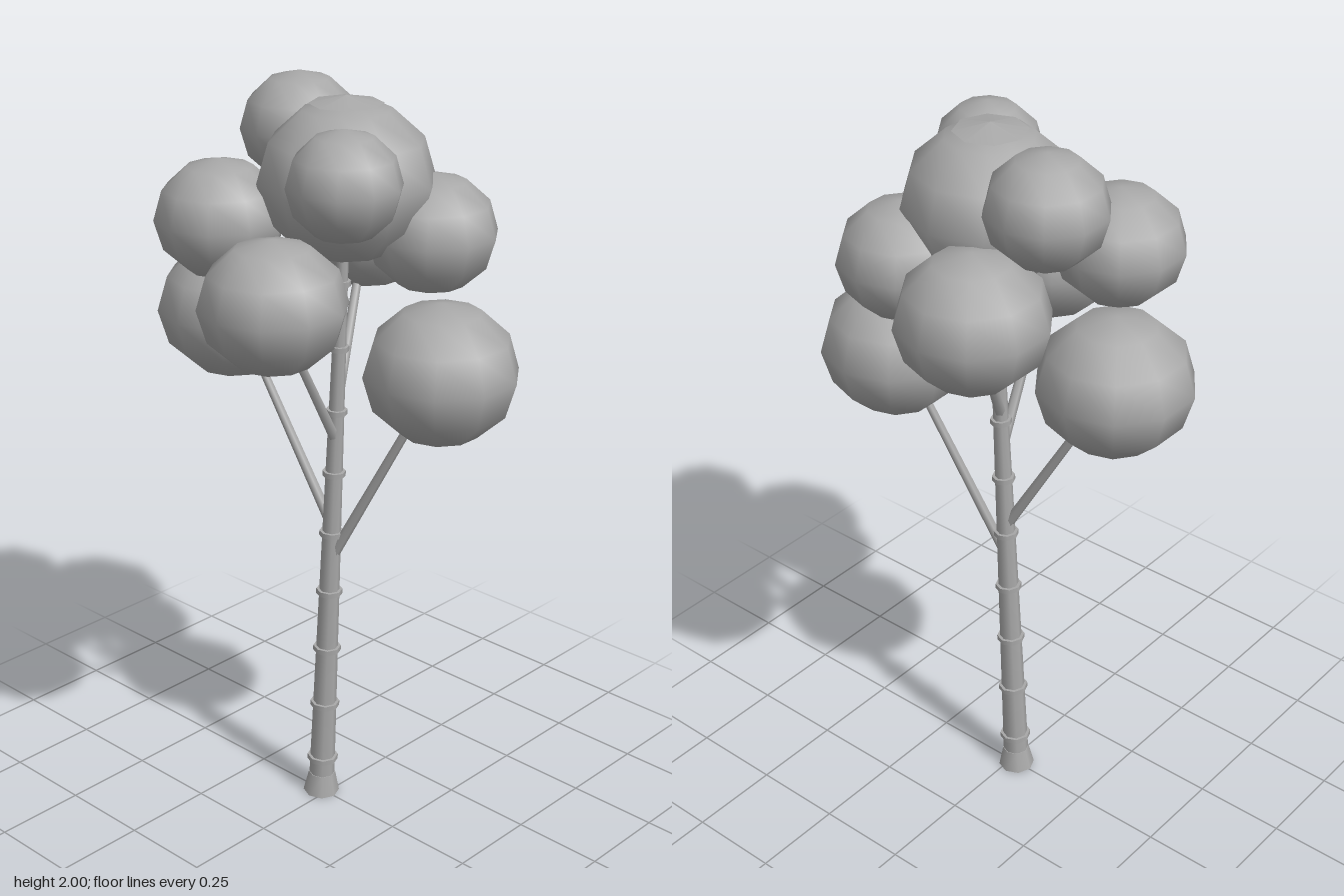
import * as THREE from 'three';

export function createModel() {
  const tree = new THREE.Group();
  tree.name = 'tree';
  const grey = new THREE.MeshStandardMaterial({ color: 0xa8a8a8 });
  grey.name = 'plain grey';

  const add = (name, geometry) => {
    const mesh = new THREE.Mesh(geometry, grey);
    mesh.name = name;
    tree.add(mesh);
    return mesh;
  };

  // Tapered rod between two points
  const up = new THREE.Vector3(0, 1, 0);
  const rod = (name, a, b, rBottom, rTop, sides = 8) => {
    const dir = b.clone().sub(a);
    const mesh = add(name, new THREE.CylinderGeometry(rTop, rBottom, dir.length(), sides));
    mesh.position.copy(a).add(b).multiplyScalar(0.5);
    mesh.quaternion.setFromUnitVectors(up, dir.normalize());
    return mesh;
  };

  // Leaning trunk: centre and radius at a given height
  const trunkAt = (y) => new THREE.Vector3(-0.02 + 0.037 * y, y, -0.012 * y);
  const trunkRadius = (y) => 0.036 - 0.0135 * y;

  // Flared foot and trunk sections
  rod('trunkFoot', trunkAt(0), trunkAt(0.06), 0.05, 0.037);
  const joints = [0.04];
  for (let i = 0; i < 9; i++) joints.push(0.11 + i * 0.175);
  joints.push(1.7);
  for (let i = 0; i < joints.length - 1; i++) {
    const [a, b] = [joints[i], joints[i + 1]];
    rod('trunkSection', trunkAt(a), trunkAt(b), trunkRadius(a), trunkRadius(b));
  }

  // Raised rings around the trunk joints
  for (const y of joints.slice(1, -1)) {
    const r = trunkRadius(y) + 0.008;
    rod('trunkRing', trunkAt(y - 0.007), trunkAt(y + 0.007), r, r);
  }

  // Foliage balls: x, y, z, radius, half height, height where the branch leaves the trunk
  const balls = [
    [-0.304, 1.38, 0.03, 0.203, 0.183, 0.83],
    [0.307, 1.32, -0.09, 0.2, 0.183, 0.73],
    [0.07, 1.525, 0.26, 0.187, 0.168, 1.08],
    [-0.092, 1.6, -0.253, 0.194, 0.177, 1.18],
    [0.195, 1.64, -0.177, 0.168, 0.152],
    [-0.205, 1.67, 0.167, 0.168, 0.152],
    [0.18, 1.815, 0.128, 0.143, 0.137],
    [-0.188, 1.857, -0.1, 0.154, 0.143],
    [0.045, 1.775, -0.025, 0.225, 0.203],
  ];
  const ballGeometry = new THREE.SphereGeometry(1, 10, 6).rotateY(Math.PI / 2);
  for (const [x, y, z, r, h, start] of balls) {
    const ball = add('foliageBall', ballGeometry);
    ball.position.set(x, y, z);
    ball.scale.set(r, h, r);
    if (start) rod('branch', trunkAt(start), new THREE.Vector3(x, y, z), 0.015, 0.01, 6);
  }

  // Shallow cap on the crown
  const cap = add('crownCap', new THREE.ConeGeometry(0.093, 0.02, 8));
  cap.position.set(0.042, 1.975, -0.026);

  return tree;
}
